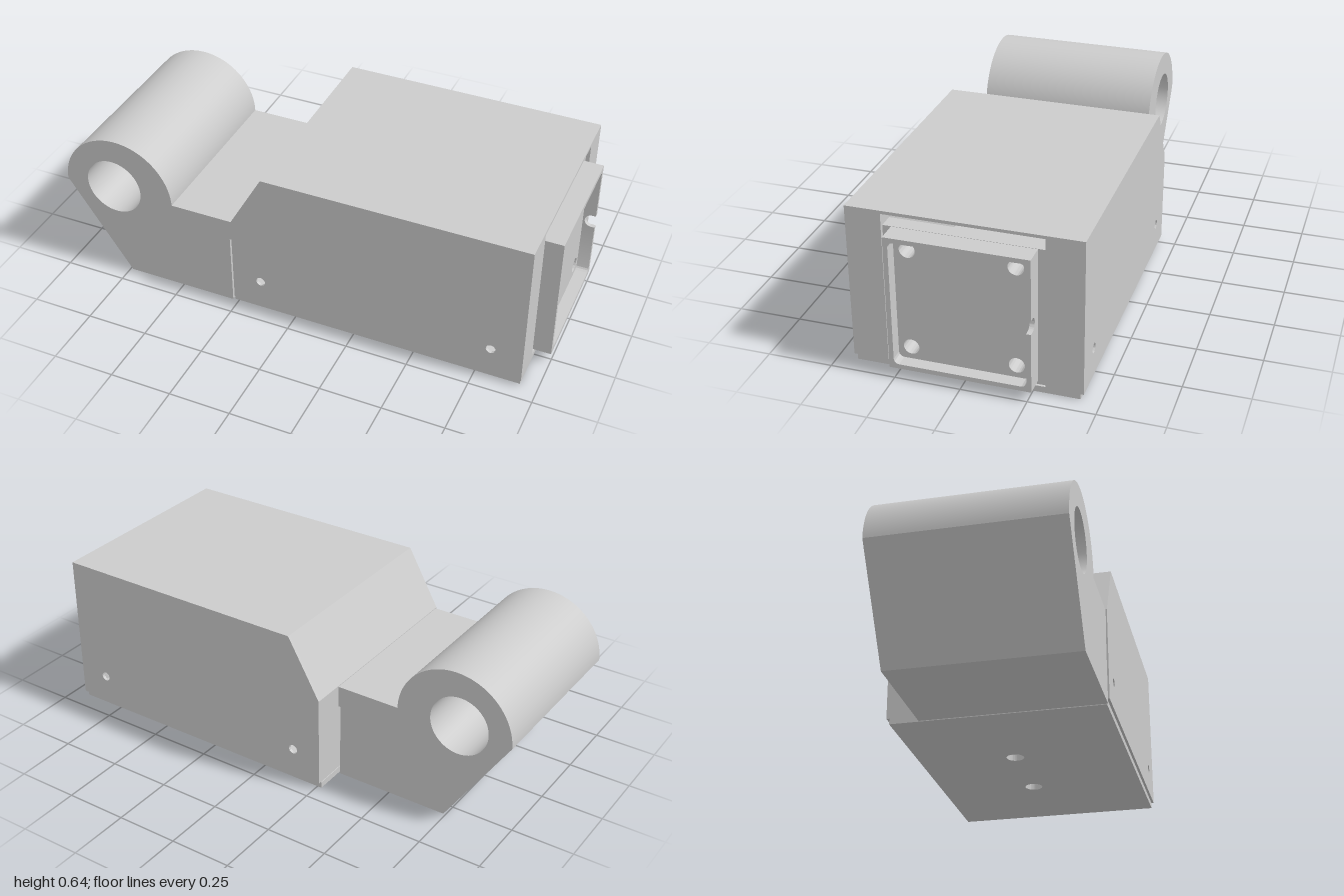
import * as THREE from 'three';
import { toCreasedNormals } from 'three/addons/utils/BufferGeometryUtils.js';

const grey = new THREE.MeshStandardMaterial({ color: 0xcccccc });

const polygon = (points) => new THREE.Shape(points.map(([x, y]) => new THREE.Vector2(x, y)));
const rect = (x0, y0, x1, y1) => polygon([[x0, y0], [x1, y0], [x1, y1], [x0, y1]]);

function drill(shape, x, y, r) {
  shape.holes.push(new THREE.Path().absarc(x, y, r, 0, Math.PI * 2, true));
  return shape;
}

function extrude(shape, from, to) {
  const g = new THREE.ExtrudeGeometry(shape, { depth: to - from, bevelEnabled: false, curveSegments: 32 });
  g.translate(0, 0, from);
  return toCreasedNormals(g, 0.5);
}
// Extrusions along z, x (shape drawn in -z, y) and y (shape drawn in x, -z)
const alongZ = extrude;
const alongX = (s, a, b) => extrude(s, a, b).rotateY(Math.PI / 2);
const alongY = (s, a, b) => extrude(s, a, b).rotateX(-Math.PI / 2);

export function createModel() {
  const model = new THREE.Group();
  const add = (parent, name, geometry) => {
    const mesh = new THREE.Mesh(geometry, grey);
    mesh.name = name;
    parent.add(mesh);
    return mesh;
  };

  // Mounting arm with round hub, bore and a narrow relief slot at the housing
  const arm = new THREE.Shape();
  arm.moveTo(-0.74, 0);
  arm.lineTo(-0.275, 0);
  arm.lineTo(-0.275, 0.31);
  arm.lineTo(-0.265, 0.31);
  arm.lineTo(-0.265, 0.397);
  arm.lineTo(-0.526, 0.397);
  arm.absarc(-0.763, 0.395, 0.237, 0, Math.PI, false);
  arm.closePath();
  drill(arm, -0.785, 0.412, 0.12);
  add(model, 'mountingArm', alongZ(arm, -0.305, 0.43));

  // Base plate with two fixing holes
  const base = rect(-0.268, -0.425, 0.93, 0.425);
  for (const x of [0.54, 0.185]) drill(base, x, 0.03, 0.036);
  add(model, 'basePlate', alongY(base, 0, 0.025));

  // Hollow sheet cover: two drilled sides, a folded top band and end flanges
  const cover = new THREE.Group();
  cover.name = 'cover';
  model.add(cover);
  const t = 0.012;
  for (const [name, a, b] of [['coverLeftSide', 0.435 - t, 0.435], ['coverRightSide', -0.438, -0.438 + t]]) {
    const side = polygon([[-0.265, 0.025], [0.935, 0.025], [0.935, 0.638], [-0.13, 0.638], [-0.265, 0.4]]);
    for (const x of [-0.145, 0.808]) drill(side, x, 0.14, 0.019);
    add(cover, name, alongZ(side, a, b));
  }
  const band = polygon([
    [-0.265, 0.025], [-0.265 + t, 0.025], [-0.265 + t, 0.397], [-0.123, 0.638 - t],
    [0.935, 0.638 - t], [0.935, 0.638], [-0.13, 0.638], [-0.265, 0.4],
  ]);
  add(cover, 'coverTop', alongZ(band, -0.438 + t, 0.435 - t));
  add(cover, 'leftFlange', alongX(rect(-0.435 + t, 0.025, -0.3, 0.638 - t), 0.935 - t, 0.935));
  add(cover, 'rightFlange', alongX(rect(0.297, 0.025, 0.438 - t, 0.638 - t), 0.935 - t, 0.935));

  // End block: back plate and recess floor, with four through holes
  const block = new THREE.Group();
  block.name = 'endBlock';
  model.add(block);
  const drilled = (shape) => {
    for (const z of [-0.2, 0.197]) for (const y of [0.11, 0.507]) drill(shape, z, y, 0.03);
    return shape;
  };
  add(block, 'backPlate', alongX(drilled(rect(-0.3, 0.025, 0.297, 0.575)), 0.86, 0.92));
  add(block, 'recessFloor', alongX(drilled(rect(-0.268, 0.042, 0.266, 0.574)), 0.92, 0.95));

  // Raised rim around the recess, open at the cable notch
  const [u0, v0, u1, v1, r] = [-0.25, 0.06, 0.248, 0.556, 0.02];
  const [lo, hi] = [0.281, 0.336];
  const rim = new THREE.Shape();
  rim.moveTo(0.266, hi);
  rim.lineTo(0.266, 0.574);
  rim.lineTo(-0.268, 0.574);
  rim.lineTo(-0.268, 0.042);
  rim.lineTo(0.266, 0.042);
  rim.lineTo(0.266, lo);
  rim.lineTo(u1, lo);
  rim.absarc(u1 - r, v0 + r, r, 0, -Math.PI / 2, true);
  rim.absarc(u0 + r, v0 + r, r, -Math.PI / 2, -Math.PI, true);
  rim.absarc(u0 + r, v1 - r, r, Math.PI, Math.PI / 2, true);
  rim.absarc(u1 - r, v1 - r, r, Math.PI / 2, 0, true);
  rim.lineTo(u1, hi);
  rim.closePath();
  add(block, 'recessRim', alongX(rim, 0.95, 1));

  // Rounded bottom of the cable notch
  const notch = new THREE.Shape();
  notch.moveTo(0.95, lo);
  notch.lineTo(0.985, lo);
  notch.absarc(0.985, (lo + hi) / 2, (hi - lo) / 2, -Math.PI / 2, -Math.PI * 1.5, true);
  notch.lineTo(0.95, hi);
  notch.closePath();
  add(block, 'cableNotch', alongZ(notch, -0.266, -0.248));

  return model;
}
